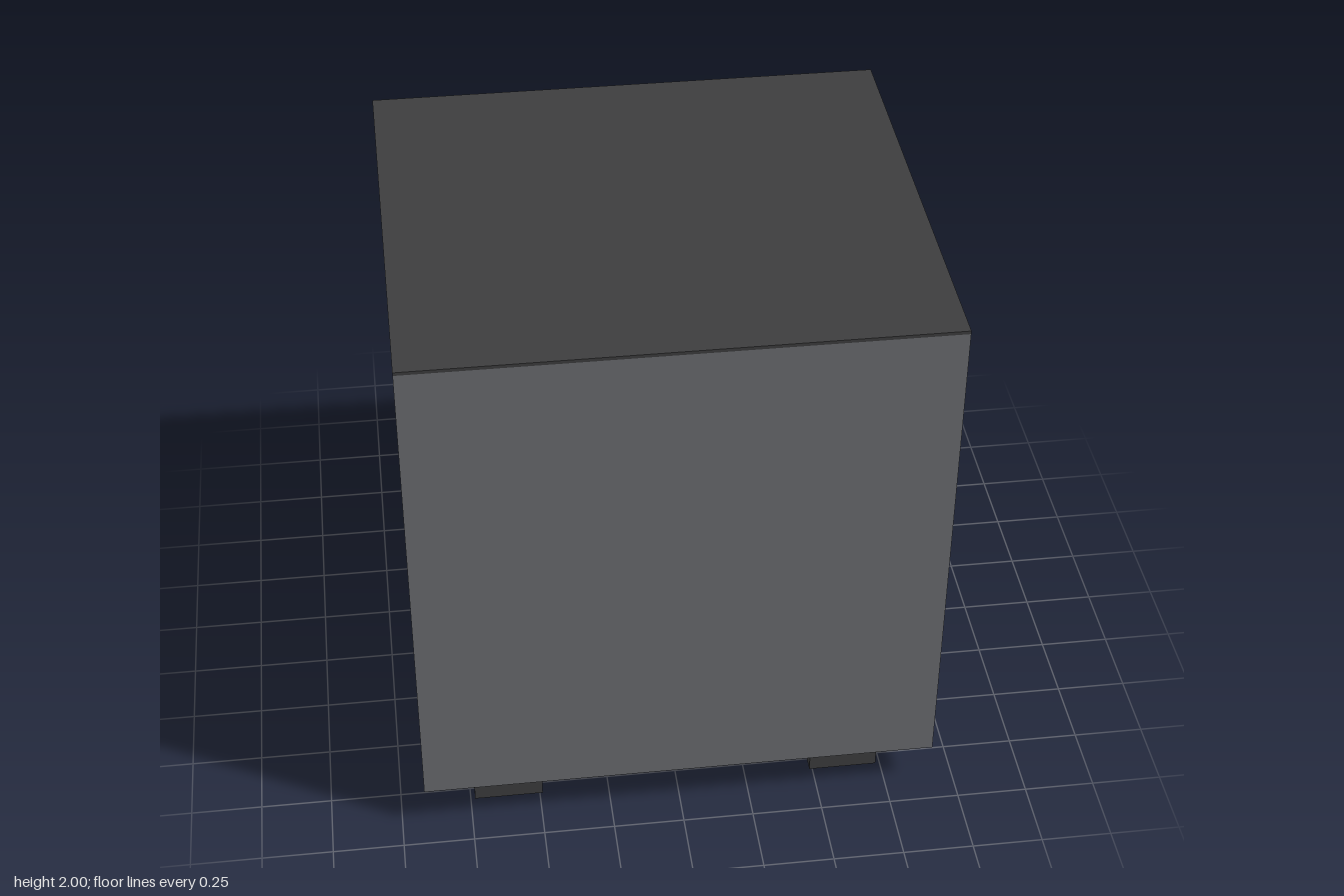
import * as THREE from 'three';

const paint = (color) => new THREE.MeshStandardMaterial({ color, flatShading: true });

export function createModel() {
  const group = new THREE.Group();
  const bodyGrey = paint(0x6b6c70);
  const dark = paint(0x3d3d3e);
  const panelGrey = paint(0xa6a6a6);
  const handleGrey = paint(0x97999e);
  const glass = paint(0x3b4a59);
  const red = paint(0xa0503f);

  const add = (name, geometry, material, x, y, z) => {
    const mesh = new THREE.Mesh(geometry, material);
    mesh.name = name;
    mesh.position.set(x, y, z);
    group.add(mesh);
    return mesh;
  };
  // Box given by its lower and upper limits on each axis
  const box = (name, material, [x0, x1], [y0, y1], [z0, z1]) =>
    add(name, new THREE.BoxGeometry(x1 - x0, y1 - y0, z1 - z0), material,
      (x0 + x1) / 2, (y0 + y1) / 2, (z0 + z1) / 2);

  // Cabinet and cooktop
  box('body', bodyGrey, [-0.915, 0.915], [0.16, 1.988], [-0.77, 0.905]);
  box('cooktop', dark, [-0.915, 0.915], [1.988, 2], [-0.77, 0.905]);

  // Oven door and control panel
  box('ovenDoor', glass, [-0.765, 0.765], [0.435, 1.59], [-0.823, -0.77]);
  box('controlPanel', panelGrey, [-0.765, 0.765], [1.655, 1.9], [-0.832, -0.77]);

  // Octagonal handle bar
  const bar = new THREE.CylinderGeometry(0.054, 0.054, 1.585, 8);
  bar.rotateZ(Math.PI / 2);
  add('handle', bar, handleGrey, 0, 1.838, -0.851);

  // Control knobs
  const knob = new THREE.CylinderGeometry(0.06, 0.06, 0.04, 8);
  knob.rotateY(Math.PI / 8);
  knob.rotateX(Math.PI / 2);
  for (const x of [-0.46, 0, 0.46]) add('knob', knob, red, x, 1.778, -0.846);

  // Pair of feet
  for (const s of [-1, 1]) {
    add('foot', new THREE.BoxGeometry(0.245, 0.16, 0.245), dark, s * 0.612, 0.08, 0.68);
  }
  return group;
}
